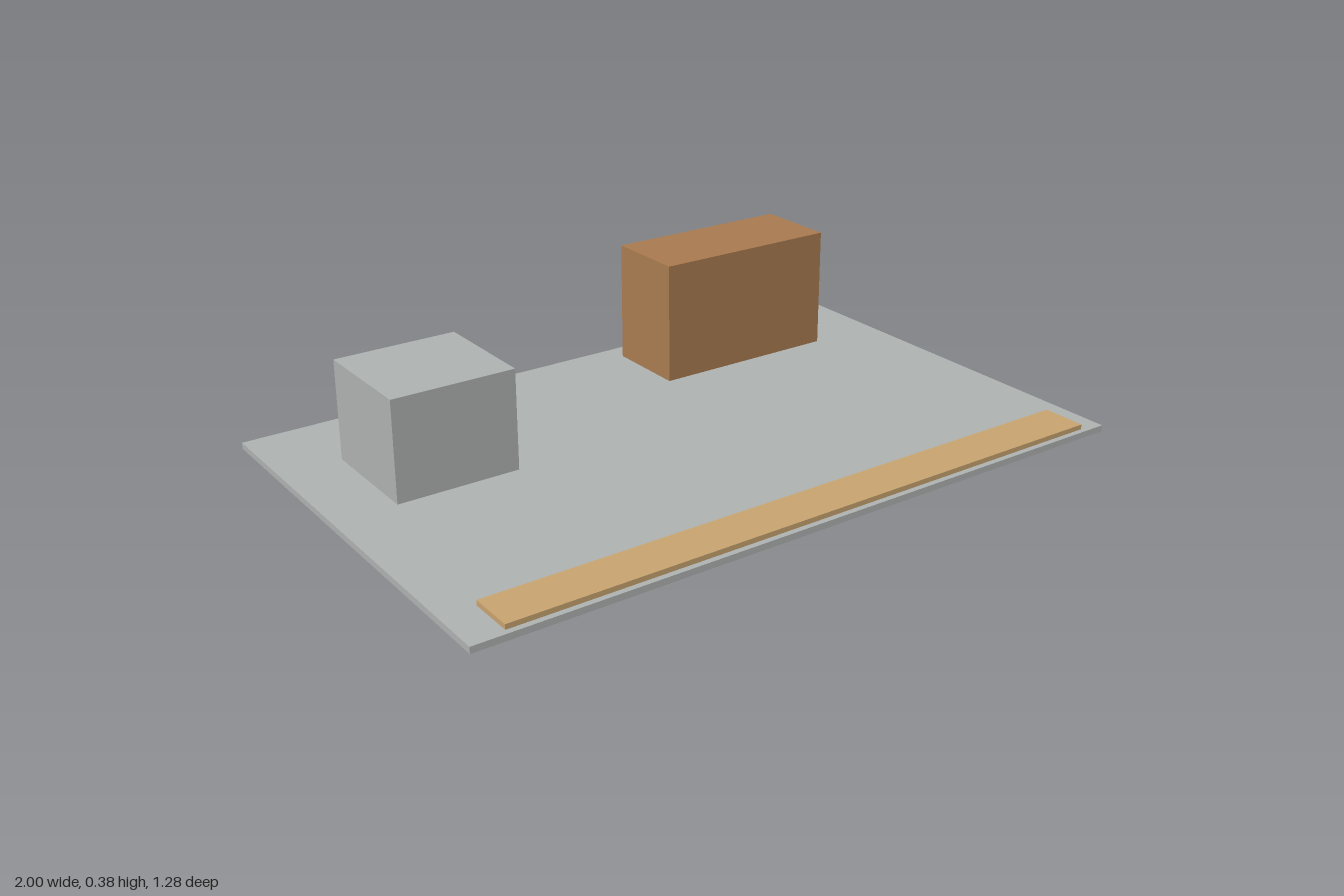
import * as THREE from 'three';

const material = (name, color) => {
  const m = new THREE.MeshStandardMaterial({ color });
  m.name = name;
  return m;
};

export function createModel() {
  const group = new THREE.Group();
  group.name = 'terrace';

  const stone = material('stone grey', 0xadb1af);
  const wood = material('brown wood', 0xa87a50);
  const lightWood = material('light wood', 0xc7a26e);

  // Adds a box spanning the given [min, max] ranges
  const box = (name, mat, x, y, z) => {
    const geometry = new THREE.BoxGeometry(x[1] - x[0], y[1] - y[0], z[1] - z[0]);
    const mesh = new THREE.Mesh(geometry, mat);
    mesh.name = name;
    mesh.position.set((x[0] + x[1]) / 2, (y[0] + y[1]) / 2, (z[0] + z[1]) / 2);
    group.add(mesh);
  };

  const floorTop = 0.018;

  // Ground slab
  box('floorSlab', stone, [-1, 1], [0, floorTop], [-0.641, 0.641]);
  // Square stone block on the right
  box('stoneBlock', stone, [-0.823, -0.47], [floorTop, 0.304], [-0.385, -0.056]);
  // Wooden cabinet on the left
  box('woodenCabinet', wood, [0.203, 0.776], [floorTop, 0.376], [-0.575, -0.325]);
  // Raised plank along the front edge
  box('frontPlank', lightWood, [-0.912, 0.912], [0.029, 0.043], [0.514, 0.641]);

  return group;
}
